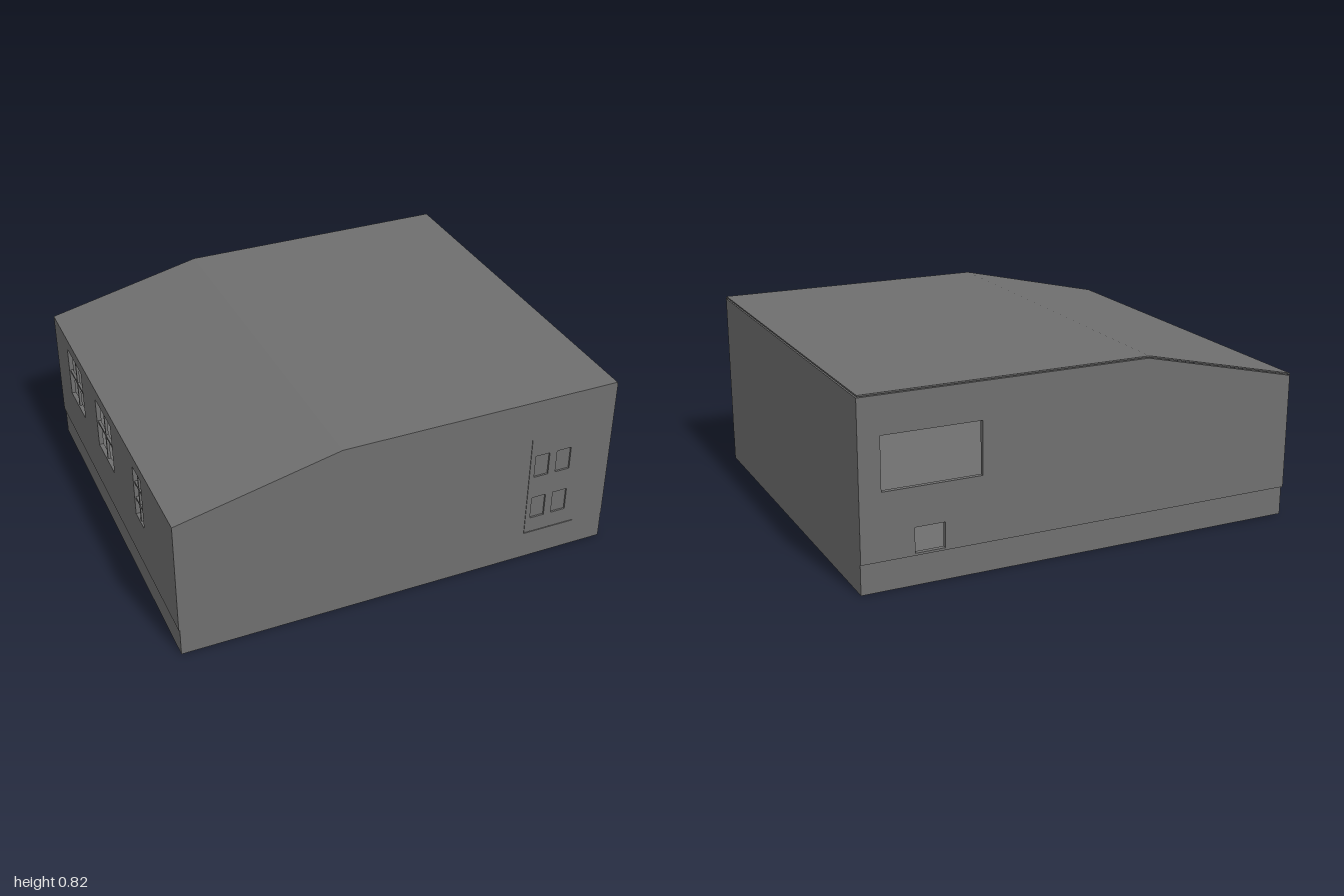
import * as THREE from 'three';

const material = new THREE.MeshStandardMaterial({ color: 0x6f6f6f, flatShading: true });
const HALF_X = 1, HALF_Z = 0.895, WALL = 0.02, BASE = 0.13, ROOF = 0.006;
// roof line, from the low eave to the high side
const ROOF_LINE = [[-1, 0.657], [-0.28, 0.822], [0.997, 0.822]];

function add(group, name, geometry, x = 0, y = 0, z = 0) {
  const mesh = new THREE.Mesh(geometry, material);
  mesh.name = name;
  mesh.position.set(x, y, z);
  group.add(mesh);
  return mesh;
}

// Box given by its lower and upper limits
function block(group, name, x0, x1, y0, y1, z0, z1) {
  return add(group, name, new THREE.BoxGeometry(x1 - x0, y1 - y0, z1 - z0),
    (x0 + x1) / 2, (y0 + y1) / 2, (z0 + z1) / 2);
}

// Flat panel with rectangular openings [u0, u1, v0, v1]
function panel(points, openings, depth) {
  const shape = new THREE.Shape(points.map(([x, y]) => new THREE.Vector2(x, y)));
  for (const [u0, u1, v0, v1] of openings) {
    shape.holes.push(new THREE.Path([[u0, v0], [u0, v1], [u1, v1], [u1, v0]]
      .map(([x, y]) => new THREE.Vector2(x, y))));
  }
  return new THREE.ExtrudeGeometry(shape, { depth, bevelEnabled: false });
}

const rect = (u0, u1, v0, v1) => [[u0, v0], [u1, v0], [u1, v1], [u0, v1]];

// Gable outline whose top lies a little below the roof line
function gable(drop) {
  const [eave, ridge] = ROOF_LINE;
  return [[-1, BASE], [1, BASE], [1, ridge[1] - drop], [ridge[0], ridge[1] - drop], [-1, eave[1] - drop]];
}

export function createModel() {
  const house = new THREE.Group();
  house.name = 'house';

  // Plinth and floor
  block(house, 'plinth', -0.995, HALF_X, 0, BASE, -0.889, HALF_Z - 0.002);

  // Gable walls; the back one leaves a shadow gap under the roof
  const doorway = [0.6, 0.85, BASE + 0.001, 0.63];
  add(house, 'frontWall', panel(gable(ROOF), [doorway], WALL), 0, 0, HALF_Z - WALL);
  const backOpenings = [[0.475, 0.907, 0.42, 0.65], [0.64, 0.77, 0.14, 0.25]];
  add(house, 'backWall', panel(gable(ROOF + 0.004), backOpenings, WALL), 0, 0, -HALF_Z);

  // Side walls, the low one drawn in the z-y plane
  const inner = HALF_Z - WALL;
  const windows = [
    { z0: -0.666, z1: -0.43, rows: 2 },
    { z0: -0.193, z1: 0.043, rows: 2 },
    { z0: 0.367, z1: 0.479, rows: 3 },
  ];
  const sill = 0.355, head = 0.6;
  const leftOpenings = windows.map((w) => [w.z0, w.z1, sill, head]);
  const lowWall = add(house, 'lowSideWall',
    panel(rect(-inner, inner, BASE, 0.657 - ROOF), leftOpenings, WALL), -HALF_X + WALL);
  lowWall.rotation.y = -Math.PI / 2;
  block(house, 'highSideWall', HALF_X - WALL, HALF_X, BASE, 0.812, -inner, inner);

  // Glazing bars of the side windows
  const bar = 0.012, bx0 = -0.995, bx1 = -0.983;
  windows.forEach(({ z0, z1, rows }, i) => {
    const frame = new THREE.Group();
    frame.name = `sideWindow${i + 1}`;
    const mid = (z0 + z1) / 2;
    block(frame, 'uprightBar', bx0, bx1, sill, head, mid - bar / 2, mid + bar / 2);
    for (let r = 1; r < rows; r++) {
      const y = sill + (head - sill) * r / rows;
      block(frame, 'crossBar', bx0, bx1, y - bar / 2, y + bar / 2, z0, z1);
    }
    house.add(frame);
  });

  // Door with four sunken panels and a hairline gap on the hinge side and below
  const door = new THREE.Group();
  door.name = 'door';
  const sunken = [];
  for (const [x0, x1] of [[0.625, 0.694], [0.73, 0.8]]) {
    for (const [y0, y1] of [[0.21, 0.32], [0.43, 0.54]]) sunken.push([x0, x1, y0, y1]);
  }
  const left = 0.602, bottom = BASE + 0.005;
  add(door, 'doorLeaf', panel(rect(left, 0.85, bottom, 0.63), sunken, 0.008), 0, 0, HALF_Z - 0.008);
  block(door, 'doorBacking', left, 0.85, bottom, 0.63, HALF_Z - 0.016, HALF_Z - 0.008);
  house.add(door);

  // Ceiling beams under the flat part of the roof
  for (const x of [0.45, -0.28]) {
    block(house, 'longBeam', x - 0.015, x + 0.015, 0.77, 0.805, -inner, inner);
  }
  for (const z of [-0.6, 0, 0.6]) {
    block(house, 'crossBeam', -0.28, HALF_X - WALL, 0.768, 0.8, z - 0.015, z + 0.015);
  }

  // Roof sheet
  const under = ROOF_LINE.map(([x, y]) => [x, y - ROOF]);
  add(house, 'roof', panel([...under, ...[...ROOF_LINE].reverse()], [], 2 * HALF_Z), 0, 0, -HALF_Z);

  return house;
}
